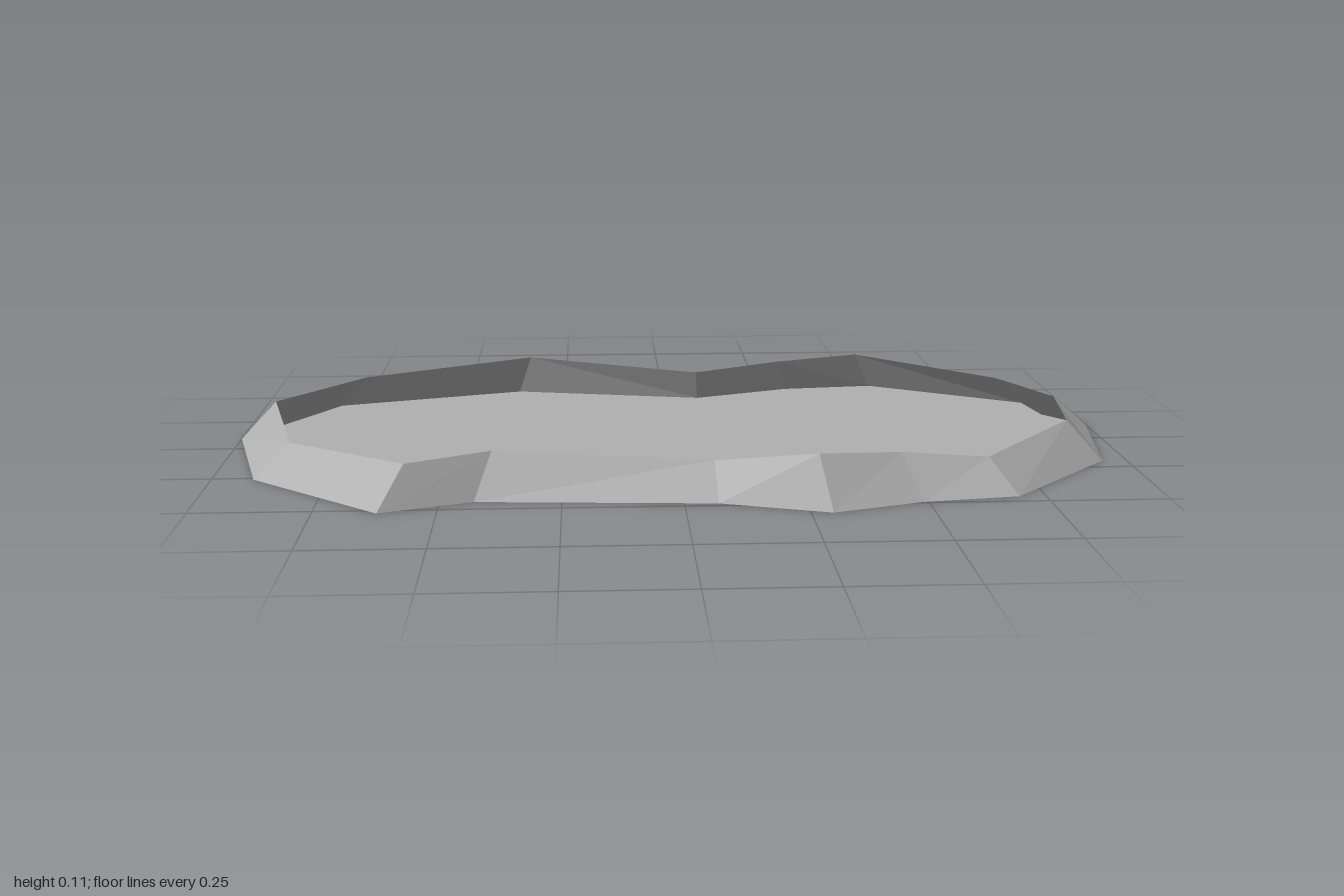
import * as THREE from 'three';

// Footprint outline: x, z on the ground and the height of the rim above it
const OUTLINE = [
  [-1, -0.09, 0.09], [-0.91, 0.26, 0.075], [-0.62, 0.52, 0.09], [-0.43, 0.45, 0.098],
  [0.07, 0.485, 0.08], [0.295, 0.56, 0.11], [0.49, 0.495, 0.095], [0.695, 0.465, 0.075],
  [0.945, 0.2, 0.09], [1, -0.125, 0.073], [0.92, -0.23, 0.083], [0.9, -0.355, 0.072],
  [0.545, -0.565, 0.095], [0.32, -0.54, 0.083], [0.085, -0.45, 0.075],
  [-0.37, -0.545, 0.1], [-0.81, -0.41, 0.08],
];
const RIM_SCALE = 0.915; // the rim leans inward

export function createModel() {
  const group = new THREE.Group();
  group.name = 'rockBasin';

  const stone = new THREE.MeshStandardMaterial({ color: 0xb0b0b0 });
  stone.name = 'grey stone';
  stone.side = THREE.DoubleSide;
  stone.flatShading = true;

  // Flat floor on the ground
  const shape = new THREE.Shape(OUTLINE.map(([x, z]) => new THREE.Vector2(x, -z)));
  const floor = new THREE.Mesh(new THREE.ShapeGeometry(shape).rotateX(-Math.PI / 2), stone);
  floor.name = 'floor';
  group.add(floor);

  // Thin faceted wall from the floor edge to the uneven rim
  const positions = [];
  OUTLINE.forEach(([x, z, h], i) => {
    const [nx, nz, nh] = OUTLINE[(i + 1) % OUTLINE.length];
    const a = [x, 0, z], b = [nx, 0, nz];
    const rimA = [x * RIM_SCALE, h, z * RIM_SCALE];
    const rimB = [nx * RIM_SCALE, nh, nz * RIM_SCALE];
    positions.push(...a, ...b, ...rimB, ...a, ...rimB, ...rimA);
  });
  const geometry = new THREE.BufferGeometry();
  geometry.setAttribute('position', new THREE.Float32BufferAttribute(positions, 3));
  geometry.computeVertexNormals();
  const wall = new THREE.Mesh(geometry, stone);
  wall.name = 'wall';
  group.add(wall);

  return group;
}
